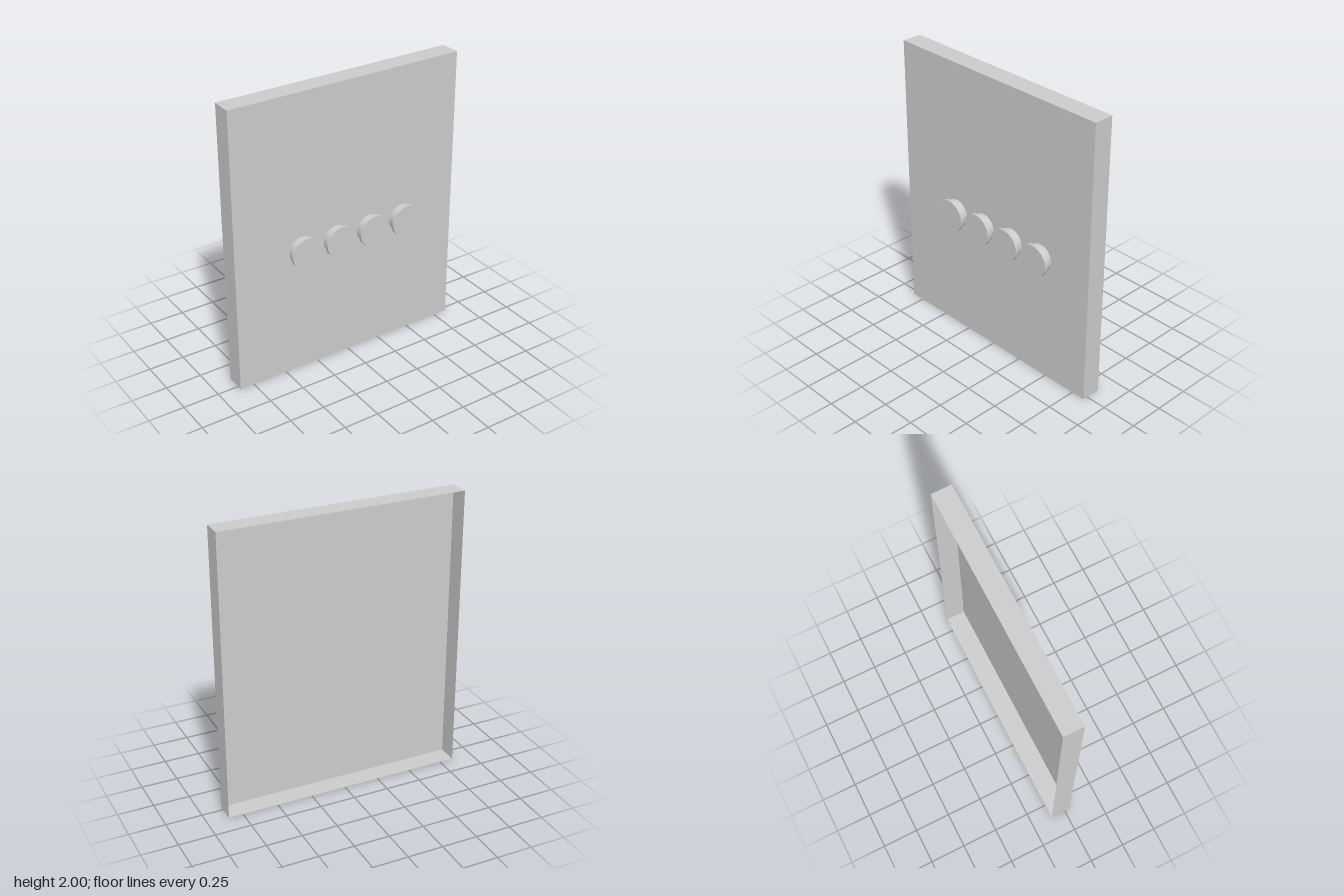
import * as THREE from 'three';

const FRONT = 0.035, BACK = -0.105, CAP_BACK = 0.08, CAP_FRONT = 0.105;

// Cylinder lying along z between two depths
function disc(name, radius, z0, z1, material) {
  const geometry = new THREE.CylinderGeometry(radius, radius, z1 - z0, 32);
  geometry.rotateX(Math.PI / 2);
  geometry.translate(0, 0, (z0 + z1) / 2);
  const mesh = new THREE.Mesh(geometry, material);
  mesh.name = name;
  return mesh;
}

export function createModel() {
  const model = new THREE.Group();
  model.name = 'knobPanel';
  const grey = new THREE.MeshStandardMaterial({ color: 0xcccccc });
  const thin = new THREE.MeshStandardMaterial({ color: 0xcccccc, side: THREE.DoubleSide });

  // Thin-walled panel, open at the back: a box without its last (rear) face
  const shell = new THREE.BoxGeometry(1.7, 2, FRONT - BACK);
  shell.setIndex(Array.from(shell.index.array).slice(0, 30));
  shell.clearGroups();
  shell.translate(0, 1, (FRONT + BACK) / 2);
  const panel = new THREE.Mesh(shell, thin);
  panel.name = 'openBackPanel';
  model.add(panel);

  // Row of four knobs, each a neck with a wider cap
  for (let i = 0; i < 4; i++) {
    const knob = new THREE.Group();
    knob.name = `knob${i + 1}`;
    knob.add(disc('knobNeck', 0.097, FRONT, CAP_BACK, grey));
    knob.add(disc('knobCap', 0.113, CAP_BACK, CAP_FRONT, grey));
    knob.position.set(-0.352 + i * 0.261, 0.905, 0);
    model.add(knob);
  }
  return model;
}
